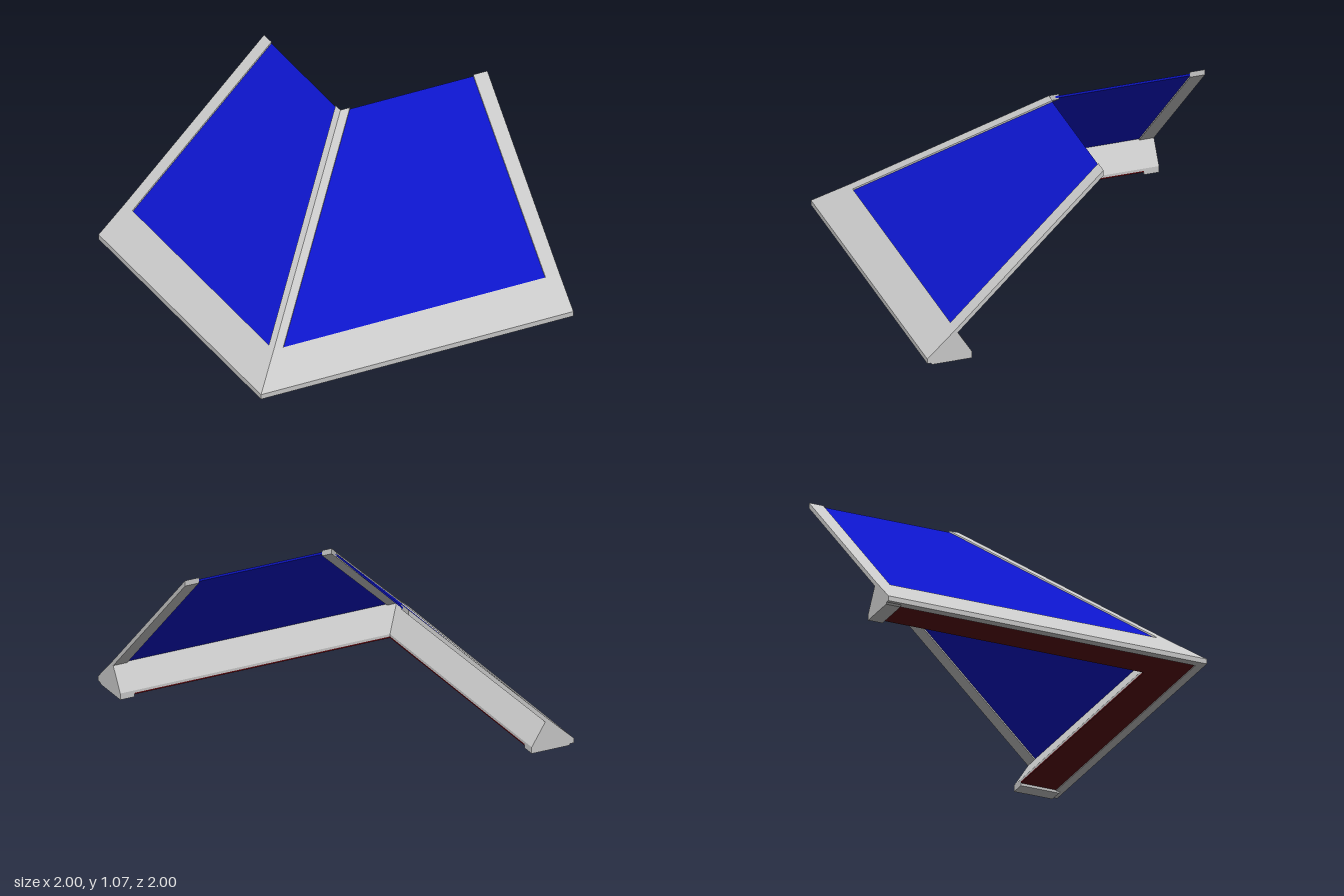
import * as THREE from 'three';

const grey = new THREE.MeshStandardMaterial({ color: 0xcccccc, flatShading: true });
const blue = new THREE.MeshStandardMaterial({ color: 0x0d15cc, flatShading: true });
const red = new THREE.MeshStandardMaterial({ color: 0x5c0c12, flatShading: true });

// Prism along x: a [z, y] profile whose two ends are cut at xa(z) and xb(z).
// mirrored swaps the wing across the hip line x = -z.
function prism(profile, xa, xb, mirrored) {
  const n = profile.length;
  const pts = [xa, xb].flatMap((cut) => profile.map(([z, y]) => {
    const x = cut(z);
    return mirrored ? new THREE.Vector3(-z, y, -x) : new THREE.Vector3(x, y, z);
  }));
  const outline = profile.map(([z, y]) => new THREE.Vector2(z, y));
  const clockwise = THREE.ShapeUtils.isClockWise(outline);
  const faces = [];
  // End caps
  for (const [a, b, c] of THREE.ShapeUtils.triangulateShape(outline, [])) {
    const t = new THREE.Vector2().subVectors(outline[b], outline[a])
      .cross(new THREE.Vector2().subVectors(outline[c], outline[a]));
    const [p, q] = (t < 0) === clockwise ? [b, c] : [c, b];
    faces.push([a, p, q], [a + n, q + n, p + n]);
  }
  // Sides
  for (let i = 0; i < n; i++) {
    const j = (i + 1) % n;
    faces.push([i, j + n, j], [i, i + n, j + n]);
  }
  // Turn the faces outward
  let volume = 0;
  for (const [a, b, c] of faces) volume += pts[a].dot(pts[b].clone().cross(pts[c]));
  const index = faces.flatMap(([a, b, c]) => (volume < 0 ? [a, c, b] : [a, b, c]));
  let geometry = new THREE.BufferGeometry().setFromPoints(pts);
  geometry.setIndex(index);
  geometry = geometry.toNonIndexed();
  geometry.computeVertexNormals();
  return geometry;
}

// Sloping band that follows the roof, between two vertical offsets
const slope = (top, bottom) => [
  [0.83, 0.2 - top], [-0.06, 1.07 - top], [-0.06, 1.07 - bottom], [0.83, 0.2 - bottom],
];

function createWing(mirrored) {
  const wing = new THREE.Group();
  wing.name = mirrored ? 'sideWing' : 'frontWing';
  const add = (name, material, profile, xa, xb) => {
    const mesh = new THREE.Mesh(prism(profile, xa, xb, mirrored), material);
    mesh.name = name;
    wing.add(mesh);
  };
  const hip = (offset) => (z) => -z + offset;
  const at = (x) => () => x;

  // Roof panel with its hip and end trims
  add('roofPanel', blue, slope(0.01, 0.024), hip(0.04), at(0.93));
  add('hipTrim', grey, slope(0, 0.034), hip(0), hip(0.06));
  add('endTrim', grey, slope(0, 0.034), at(0.91), at(1));

  // Hollow-looking eave: wedge, fascia lip, soffit and end plate
  add('eave', grey, [[1, 0.025], [1, 0.04], [0.83, 0.2], [0.73, 0.04], [0.73, 0.025]], hip(0), at(1));
  add('fasciaLip', grey, [[1, 0.01], [1, 0.025], [0.95, 0.025], [0.95, 0.01]], hip(0), at(1));
  add('soffit', red, [[0.95, 0.016], [0.95, 0.025], [0.73, 0.025], [0.73, 0.016]], hip(0), at(0.91));
  add('endPlate', grey, [[0.97, 0], [0.99, 0.025], [0.73, 0.025], [0.73, 0]], at(0.91), at(1));
  return wing;
}

export function createModel() {
  const model = new THREE.Group();
  model.name = 'cornerRoof';
  model.add(createWing(false), createWing(true));
  return model;
}
